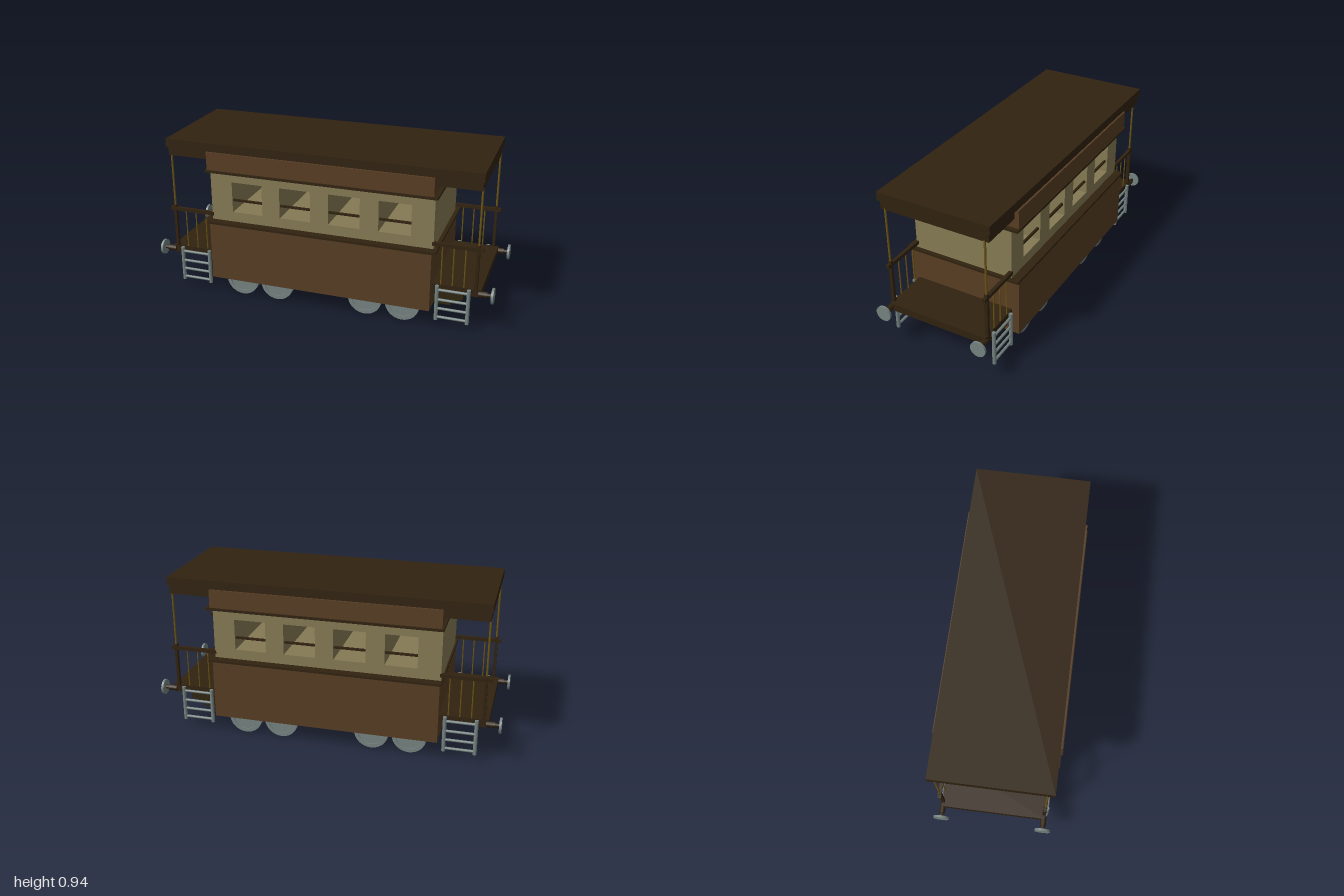
import * as THREE from 'three';

const mat = (color) => new THREE.MeshStandardMaterial({ color });
const DARK = mat(0x30220f), BROWN = mat(0x573d23), CREAM = mat(0x857a54);
const STEEL = mat(0x748280), BRASS = mat(0x6b5415), IRON = mat(0x2a3337), STEP = mat(0x30260f);

export function createModel() {
  const model = new THREE.Group();

  const add = (name, geometry, material, x = 0, y = 0, z = 0, parent = model) => {
    const mesh = new THREE.Mesh(geometry, material);
    mesh.name = name;
    mesh.position.set(x, y, z);
    parent.add(mesh);
    return mesh;
  };
  // Box given by its limits in x, y and z
  const box = (name, material, x0, x1, y0, y1, z0, z1, parent = model) =>
    add(name, new THREE.BoxGeometry(x1 - x0, y1 - y0, z1 - z0), material,
      (x0 + x1) / 2, (y0 + y1) / 2, (z0 + z1) / 2, parent);
  // Round bar along a chosen axis
  const bar = (name, material, r, length, axis, x, y, z, parent, sides = 12) => {
    const g = new THREE.CylinderGeometry(r, r, length, sides);
    if (axis === 'x') g.rotateZ(Math.PI / 2);
    if (axis === 'z') g.rotateX(Math.PI / 2);
    return add(name, g, material, x, y, z, parent);
  };
  // Box with a narrower underside
  const tray = (name, x, halfX, halfZ, y0, y1, inset) => {
    const g = new THREE.BoxGeometry(halfX * 2, y1 - y0, halfZ * 2);
    const p = g.attributes.position;
    for (let i = 0; i < p.count; i++) {
      if (p.getY(i) < 0) p.setX(i, p.getX(i) - Math.sign(p.getX(i)) * inset);
    }
    g.computeVertexNormals();
    add(name, g, IRON, x, (y0 + y1) / 2, 0);
  };

  // Lower body, upper frieze and trim strips
  box('lowerBody', BROWN, -0.657, 0.657, 0.113, 0.46, -0.343, 0.343);
  box('upperFrieze', BROWN, -0.657, 0.657, 0.785, 0.893, -0.343, 0.343);
  box('waistTrim', DARK, -0.667, 0.68, 0.458, 0.471, -0.35, 0.35);
  box('upperTrim', DARK, -0.667, 0.68, 0.774, 0.788, -0.35, 0.35);

  // Window section with four openings running through it
  const wall = new THREE.Shape([[-0.657, 0.471], [0.657, 0.471], [0.657, 0.774], [-0.657, 0.774]]
    .map(([x, y]) => new THREE.Vector2(x, y)));
  for (const x of [-0.434, -0.143, 0.147, 0.438]) {
    wall.holes.push(new THREE.Path([[-1, 0.53], [-1, 0.712], [1, 0.712], [1, 0.53]]
      .map(([s, y]) => new THREE.Vector2(x + s * 0.092, y))));
    for (const z of [-0.285, 0.285]) {
      box('windowBar', DARK, x - 0.092, x + 0.092, 0.594, 0.606, z - 0.006, z + 0.006);
    }
  }
  const wallGeometry = new THREE.ExtrudeGeometry(wall, { depth: 0.6, bevelEnabled: false });
  add('windowWalls', wallGeometry, CREAM, 0, 0, -0.3);

  // Two-step flat roof
  box('roofBase', DARK, -0.905, 0.905, 0.843, 0.893, -0.32, 0.32);
  box('roofTop', DARK, -0.914, 0.914, 0.893, 0.943, -0.332, 0.332);

  // End platforms
  for (const s of [-1, 1]) {
    const platform = new THREE.Group();
    platform.name = s > 0 ? 'leftPlatform' : 'rightPlatform';
    model.add(platform);
    const span = (name, m, a, b, ...rest) =>
      box(name, m, Math.min(s * a, s * b), Math.max(s * a, s * b), ...rest, platform);
    span('deck', DARK, 0.65, 0.93, 0.222, 0.266, -0.3, 0.3);

    for (const side of [-1, 1]) {
      const z = side * 0.295;
      // Railing, post and roof pole
      span('railPost', DARK, 0.893, 0.909, 0.26, 0.527, z - 0.01, z + 0.01);
      span('handrail', DARK, 0.65, 0.93, 0.493, 0.513, z - 0.01, z + 0.01);
      bar('roofPole', BRASS, 0.006, 0.33, 'y', s * 0.901, 0.685, z, platform);
      for (const x of [0.706, 0.77, 0.834]) {
        bar('baluster', BRASS, 0.004, 0.235, 'y', s * x, 0.38, z, platform, 8);
      }
      // Buffer
      bar('bufferSleeve', DARK, 0.017, 0.05, 'x', s * 0.94, 0.241, z, platform);
      bar('bufferRod', DARK, 0.011, 0.07, 'x', s * 0.96, 0.241, z, platform);
      bar('bufferDisc', STEEL, 0.045, 0.013, 'x', s * 0.9935, 0.241, z, platform, 32);
      // Ladder
      for (const x of [0.69, 0.865]) {
        bar('ladderUpright', STEEL, 0.011, 0.21, 'y', s * x, 0.157, side * 0.311, platform);
      }
      for (const y of [0.07, 0.123, 0.177, 0.237]) {
        bar('ladderRung', STEEL, 0.008, 0.175, 'x', s * 0.7775, y, side * 0.311, platform);
      }
    }
  }

  // Stepped blocks below the platform at one end
  [[0.83, 0.18, 0.224, 0.285], [0.81, 0.147, 0.182, 0.27], [0.76, 0.122, 0.149, 0.253]]
    .forEach(([x, y0, y1, z]) => box('underStep', STEP, 0.65, x, y0, y1, -z, z));

  // Wheels: rim with a recessed face, standing on the ground
  const profile = [[0, -0.017], [0.078, -0.017], [0.078, -0.023], [0.1, -0.023],
    [0.1, 0.023], [0.078, 0.023], [0.078, 0.017], [0, 0.017]];
  const wheels = new THREE.Group();
  wheels.name = 'wheels';
  model.add(wheels);
  const v = profile.map(([r, h]) => new THREE.Vector2(r, h));
  for (const x of [-0.49, -0.27, 0.27, 0.49]) {
    for (const z of [-0.265, 0.265]) {
      const wheel = new THREE.Group();
      wheel.name = 'wheel';
      wheel.position.set(x, 0.1, z);
      wheels.add(wheel);
      // One ring per profile segment keeps the edges sharp
      for (let i = 0; i < v.length - 1; i++) {
        const g = new THREE.LatheGeometry([v[i], v[i + 1]], 32);
        g.rotateX(Math.PI / 2);
        add('wheelRing', g, STEEL, 0, 0, 0, wheel);
      }
    }
    bar('axle', IRON, 0.015, 0.5, 'z', x, 0.1, 0, wheels);
  }

  // Underframe: two bogies and a central tray
  for (const x of [-0.38, 0.38]) tray('bogie', x, 0.13, 0.242, 0.066, 0.118, 0.01);
  tray('centreTray', 0, 0.167, 0.242, 0.073, 0.118, 0.015);

  return model;
}
